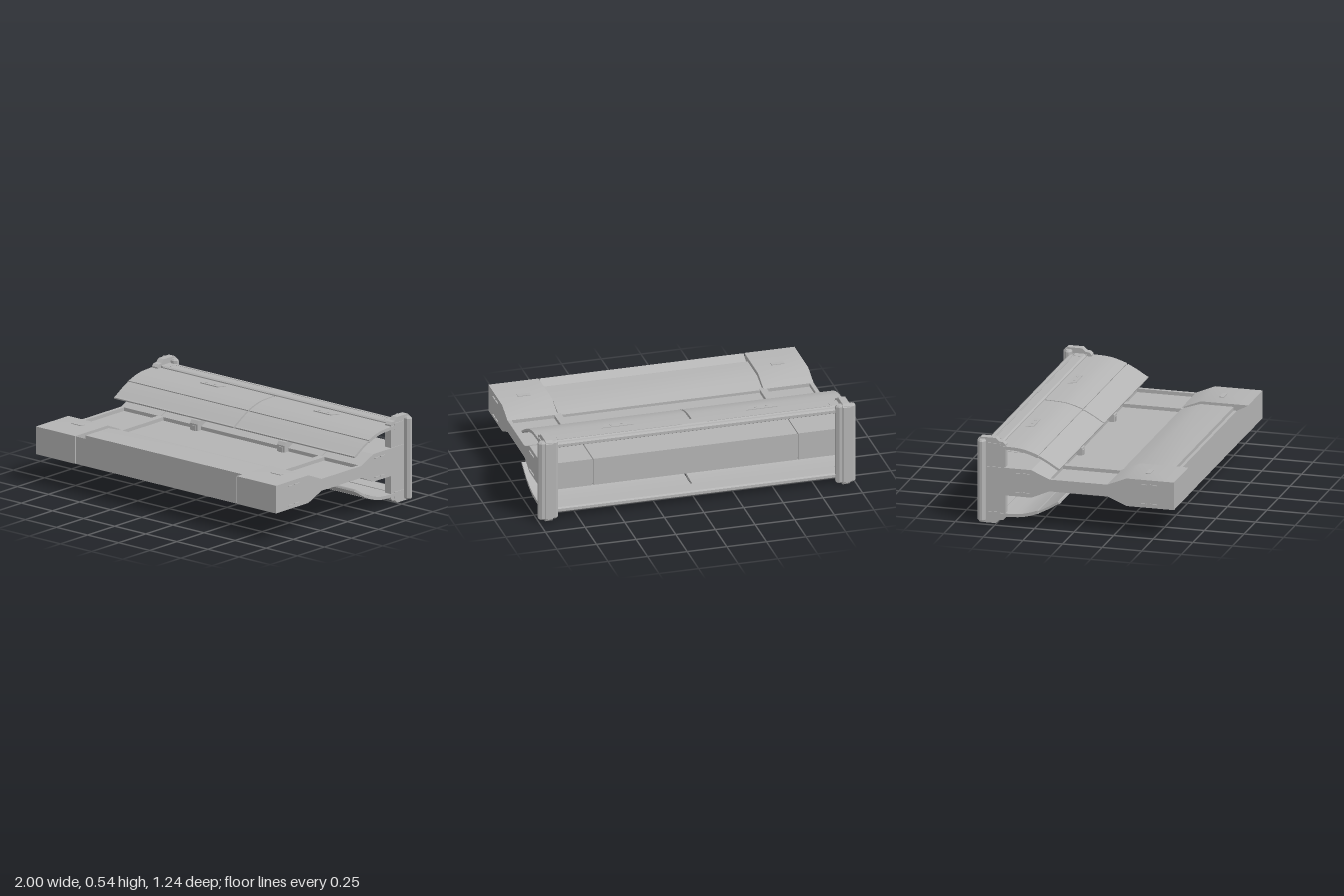
import * as THREE from 'three';
import { toCreasedNormals } from 'three/addons/utils/BufferGeometryUtils.js';

const MID = 0.2775; // height of the horizontal symmetry plane

export function createModel() {
  const model = new THREE.Group();
  const grey = new THREE.MeshStandardMaterial({ color: 0xb4b4b4 });
  grey.name = 'painted grey';

  const add = (name, geometry) => {
    const mesh = new THREE.Mesh(geometry, grey);
    mesh.name = name;
    model.add(mesh);
    return mesh;
  };
  const box = (name, x0, x1, y0, y1, z0, z1) => {
    const g = new THREE.BoxGeometry(Math.abs(x1 - x0), y1 - y0, z1 - z0);
    g.translate((x0 + x1) / 2, (y0 + y1) / 2, (z0 + z1) / 2);
    return add(name, g);
  };
  // Extrudes a [z, y] outline along x from x0 to x1; flip mirrors it about MID
  const slab = (name, pts, x0, x1, flip = false) => {
    const a = Math.min(x0, x1), b = Math.max(x0, x1);
    const shape = new THREE.Shape(pts.map(([z, y]) => new THREE.Vector2(z, flip ? 2 * MID - y : y)));
    const g = new THREE.ExtrudeGeometry(shape, { depth: b - a, bevelEnabled: false });
    g.rotateY(-Math.PI / 2).translate(b, 0, 0);
    return add(name, toCreasedNormals(g, 0.4));
  };
  // Closes an upper half outline with its mirror image below
  const symmetric = (half) => [...half, ...half.map(([z, y]) => [z, 2 * MID - y]).reverse()];
  // Closed sheet of thickness t below a smooth curve
  const sheet = (points, t, n) => {
    const curve = new THREE.SplineCurve(points.map((p) => new THREE.Vector2(...p)));
    const top = [], under = [];
    for (let i = 0; i <= n; i++) {
      const p = curve.getPoint(i / n), d = curve.getTangent(i / n);
      top.push([p.x, p.y]);
      under.unshift([p.x + d.y * t, p.y - d.x * t]);
    }
    return [...top, ...under];
  };

  // Body: thick front and rear wings tapering to a thin middle
  const endProfile = symmetric([[0.62, 0.365], [0.32, 0.365], [0.2, 0.315]]);
  const centreProfile = symmetric([
    [0.62, 0.364], [0.55, 0.327], [0.53, 0.327], [0.53, 0.35], [0.32, 0.35], [0.2, 0.31],
  ]);
  const rearProfile = symmetric([[-0.165, 0.315], [-0.28, 0.365], [-0.56, 0.365]]);
  slab('frontCentrePanel', centreProfile, -0.643, 0.643);
  slab('rearCentreBlock', rearProfile, -0.643, 0.643);
  box('floorPanel', -0.95, 0.95, 0.262, 0.293, -0.2, 0.24);
  box('rearSeamFill', -0.66, 0.66, 0.2, 0.355, -0.55, -0.3);

  for (const s of [-1, 1]) {
    slab('frontEndBlock', endProfile, s * 0.649, s * 0.965);
    slab('rearEndBlock', rearProfile, s * 0.649, s * 0.965);
    box('sideRail', s * 0.94, s * 0.965, 0.24, 0.315, -0.2, 0.22);
    box('innerRail', s * 0.625, s * 0.67, 0.24, 0.315, -0.2, 0.22);

    // Thin slot plates on the outer sides and on top of the end blocks
    for (const y of [0.215, 0.336]) {
      for (const z of [0.43, 0.49, -0.31, -0.36]) {
        box('sideSlot', s * 0.964, s * 0.972, y - 0.003, y + 0.003, z - 0.02, z + 0.02);
      }
    }
    for (const y of [0.366, 0.189]) {
      box('blockPlate', s * 0.76, s * 0.84, y - 0.003, y + 0.003, 0.405, 0.435);
    }

    // Latches gripping the front edge of the rear block
    const latch = symmetric([
      [-0.13, 0.335], [-0.145, 0.355], [-0.19, 0.355], [-0.2, 0.345], [-0.21, 0.355], [-0.25, 0.355],
    ]);
    slab('latch', latch, s * 0.35 - 0.03, s * 0.35 + 0.03);
    box('latchButton', s * 0.35 - 0.015, s * 0.35 + 0.015, 0.23, 0.325, -0.15, -0.124);

    // End clamp with stepped top and bottom
    const clamp = symmetric([
      [-0.445, 0.51], [-0.46, 0.525], [-0.485, 0.528], [-0.505, 0.548], [-0.602, 0.548], [-0.622, 0.528],
    ]);
    slab('endClamp', clamp, s * 0.915, s * 0.96);

    // Vertical post with chamfered plan outline
    const plan = new THREE.Shape([
      [-0.062, -0.008], [-0.045, -0.022], [0.045, -0.022], [0.062, -0.008],
      [0.062, 0.008], [0.045, 0.022], [-0.045, 0.022], [-0.062, 0.008],
    ].map((p) => new THREE.Vector2(...p)));
    const post = new THREE.ExtrudeGeometry(plan, {
      depth: 0.5, bevelEnabled: true, bevelThickness: 0.01, bevelSize: 0.008, bevelOffset: -0.008, bevelSegments: 1,
    });
    post.rotateX(-Math.PI / 2).translate(s * 0.938, MID - 0.25, -0.588);
    add('endPost', post);
    box('postRib', s * 0.918, s * 0.958, 0.02, 0.535, -0.618, -0.6);
  }

  // Upper and lower flaps with their header bars
  const flapMain = sheet([[-0.235, 0.463], [-0.297, 0.484], [-0.365, 0.497], [-0.49, 0.502]].reverse(), 0.02, 12);
  const flapLip = sheet([[-0.229, 0.459], [-0.17, 0.428], [-0.105, 0.388]], 0.014, 5);
  const lipBead = [[-0.112, 0.393], [-0.1, 0.388], [-0.103, 0.379], [-0.114, 0.384]];
  const hinge = [[-0.24, 0.458], [-0.222, 0.45], [-0.226, 0.444], [-0.245, 0.45]];
  const header = [
    [-0.475, 0.478], [-0.475, 0.508], [-0.485, 0.515], [-0.545, 0.515], [-0.555, 0.51],
    [-0.575, 0.51], [-0.587, 0.502], [-0.587, 0.485], [-0.575, 0.478],
  ];
  for (const flip of [false, true]) {
    const side = flip ? 'lower' : 'upper';
    const my = (y) => (flip ? 2 * MID - y : y);
    slab(side + 'HeaderBar', header, -0.92, 0.92, flip);
    for (const s of [-1, 1]) {
      slab(side + 'Flap', flapMain, s * 0.006, s * 0.965, flip);
      slab(side + 'FlapLip', flapLip, s * 0.006, s * 0.965, flip);
      slab(side + 'LipBead', lipBead, s * 0.006, s * 0.965, flip);
      slab(side + 'FlapHinge', hinge, s * 0.006, s * 0.965, flip);
      slab(side + 'HingeBracket', [[-0.475, 0.475], [-0.475, 0.515], [-0.56, 0.515], [-0.56, 0.475]],
        s * 0.9, s * 0.965, flip);

      // Finger grip: thin tapered plate with two studs
      const grip = new THREE.Shape([[-0.1, 0.025], [0.1, 0.025], [0.07, -0.02], [-0.07, -0.02]]
        .map((p) => new THREE.Vector2(...p)));
      const g = new THREE.ExtrudeGeometry(grip, { depth: 0.006, bevelEnabled: false });
      g.rotateX(-Math.PI / 2).translate(s * 0.455, my(0.501) - 0.003, -0.41);
      add(side + 'FingerGrip', g);
      for (const dx of [-0.035, 0.035]) {
        const stud = new THREE.CylinderGeometry(0.007, 0.007, 0.012, 10);
        stud.translate(s * 0.455 + dx, my(0.501), -0.41);
        add(side + 'GripStud', stud);
      }
      // Raised line along the header
      const y = my(0.515);
      box(side + 'HeaderLine', s * 0.08, s * 0.86, y - 0.002, y + 0.002, -0.546, -0.54);
      box(side + 'HeaderLineEnd', s * 0.856, s * 0.862, y - 0.002, y + 0.002, -0.545, -0.5);
    }
  }
  return model;
}
